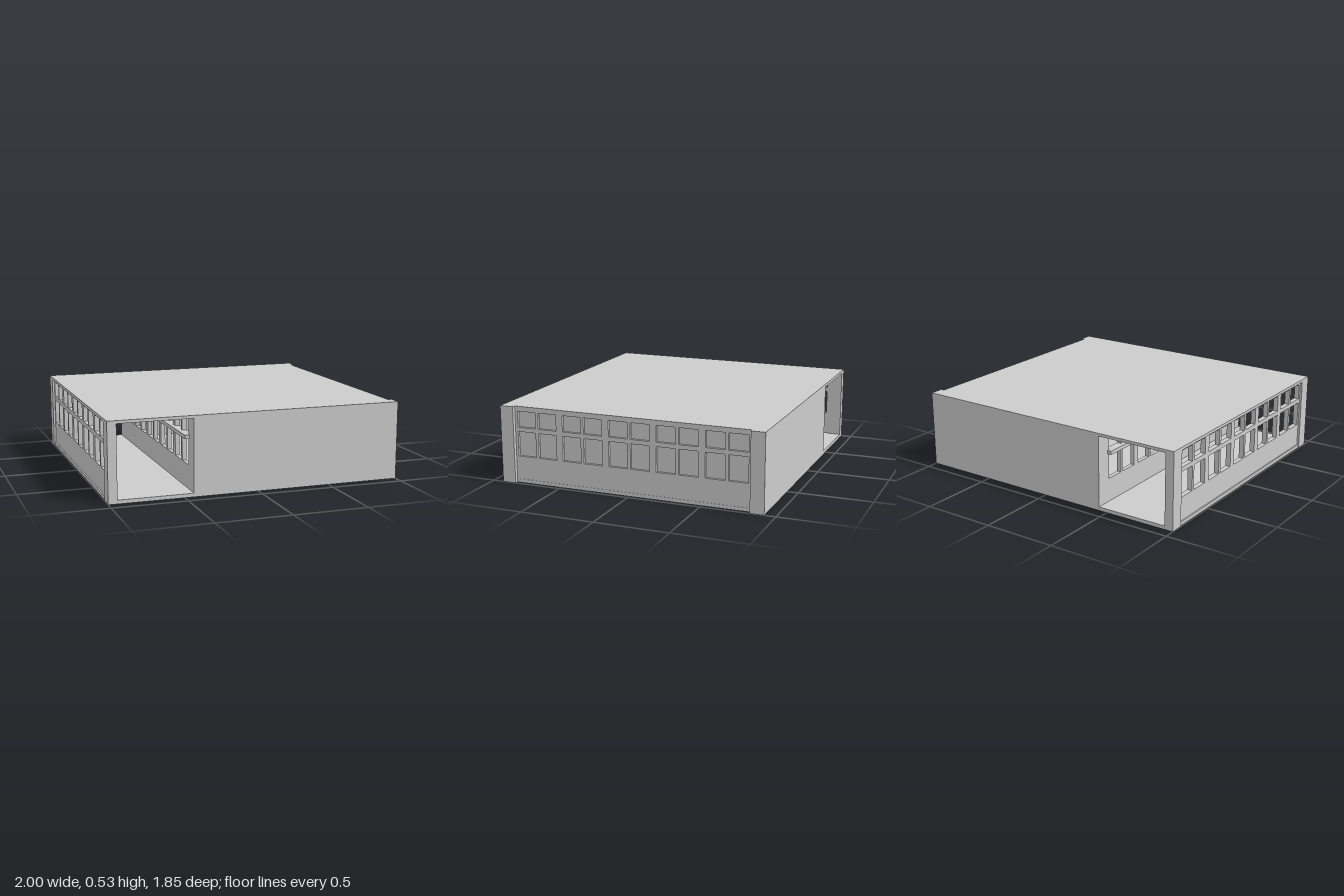
import * as THREE from 'three';

const H = 0.53, W = 1, D = 0.925, IN = 0.83;   // height, half width, half depth, inner half depth
const FLOOR = 0.025, CEIL = 0.51;

export function createModel() {
  const group = new THREE.Group();
  const material = new THREE.MeshStandardMaterial({ color: 0xcccccc, flatShading: true });

  const add = (name, geometry, x = 0, y = 0, z = 0) => {
    const mesh = new THREE.Mesh(geometry, material);
    mesh.name = name;
    mesh.position.set(x, y, z);
    group.add(mesh);
    return mesh;
  };

  // Box given by its limits on each axis
  const block = (name, x0, x1, y0, y1, z0, z1) =>
    add(name, new THREE.BoxGeometry(x1 - x0, y1 - y0, z1 - z0),
      (x0 + x1) / 2, (y0 + y1) / 2, (z0 + z1) / 2);

  const rect = (path, x0, x1, y0, y1) => {
    path.moveTo(x0, y0);
    path.lineTo(x1, y0);
    path.lineTo(x1, y1);
    path.lineTo(x0, y1);
    path.closePath();
    return path;
  };

  // Ten window columns in five pairs, each with a tall pane and a transom pane
  const windowHoles = () => {
    const holes = [];
    for (let pair = -2; pair <= 2; pair++) {
      for (const side of [-1, 1]) {
        const c = pair * 0.334 + side * 0.077;
        holes.push(rect(new THREE.Path(), c - 0.066, c + 0.066, 0.185, 0.355));
        holes.push(rect(new THREE.Path(), c - 0.066, c + 0.066, 0.385, 0.495));
      }
    }
    return holes;
  };

  // Long wall pierced by windows, running along z from x to x + depth
  const windowWall = (name, x, depth) => {
    const shape = rect(new THREE.Shape(), -IN, IN, FLOOR, CEIL);
    shape.holes.push(...windowHoles());
    const geometry = new THREE.ExtrudeGeometry(shape, { depth, bevelEnabled: false });
    geometry.rotateY(Math.PI / 2);
    return add(name, geometry, x);
  };

  // Floor and roof slabs
  block('floor', -0.995, 0.975, 0, FLOOR, -IN, IN);
  block('roof', -W, 0.975, CEIL, H, -IN, IN);

  // End walls with the corridor opening
  const endShape = rect(new THREE.Shape(), -W, W, 0, H);
  endShape.holes.push(rect(new THREE.Path(), -0.94, -0.44, FLOOR, CEIL));
  const endGeometry = new THREE.ExtrudeGeometry(endShape, { depth: D - IN, bevelEnabled: false });
  add('frontWall', endGeometry, 0, 0, IN);
  add('backWall', endGeometry, 0, 0, -D);

  // Window walls: open on the corridor side, glazed on the room side
  windowWall('corridorWindowWall', -0.985, 0.035);
  windowWall('roomWindowWall', 0.953, 0.02);
  block('roomWindowPanes', 0.945, 0.955, FLOOR, CEIL, -IN, IN);

  // Partition between corridor and room, with its rail under the transoms
  windowWall('partition', -0.44, 0.03);
  block('partitionRail', -0.47, -0.44, 0.36, 0.385, -IN, IN);

  return group;
}
